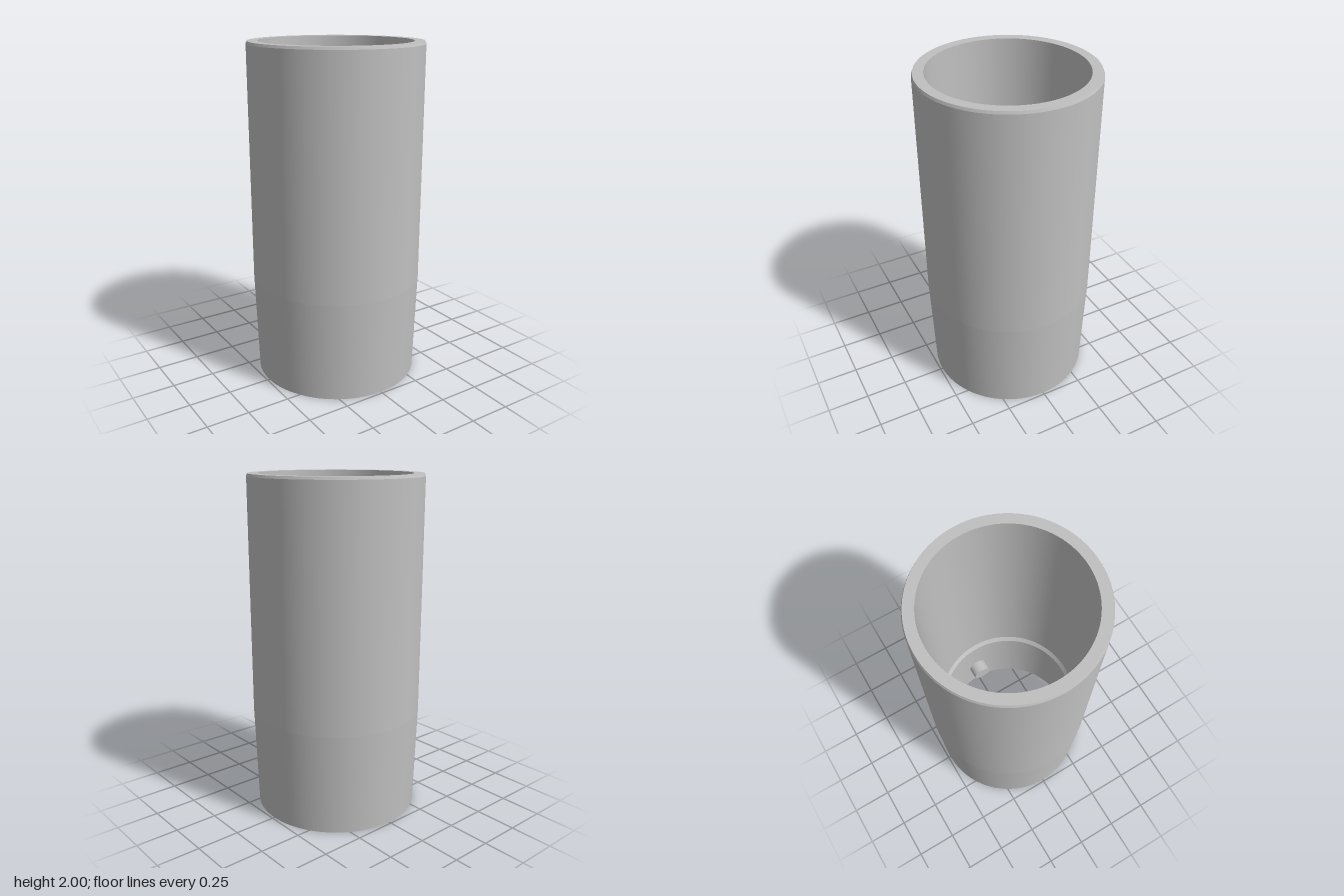
import * as THREE from 'three';

export function createModel() {
  const group = new THREE.Group();
  const grey = new THREE.MeshStandardMaterial({ color: 0xc0c0c0 });
  grey.name = 'plain grey';

  // Each band is turned separately so the edges between them stay crisp
  const band = (name, ...points) => {
    const profile = points.map(([r, y]) => new THREE.Vector2(r, y));
    const mesh = new THREE.Mesh(new THREE.LatheGeometry(profile, 96), grey);
    mesh.name = name;
    group.add(mesh);
  };

  // Outside, from the foot up to the rim
  band('outerTaper', [0.486, 0], [0.505, 0.6]);
  band('outerWall', [0.505, 0.6], [0.505, 1.985]);
  band('rimBevel', [0.505, 1.985], [0.499, 2]);
  band('topRim', [0.499, 2], [0.44, 2]);

  // Inside, from the rim down to the socket
  band('innerWall', [0.44, 2], [0.43, 0.62]);
  band('innerShoulder', [0.43, 0.62], [0.413, 0.59]);
  band('innerLip', [0.413, 0.59], [0.413, 0.54]);
  band('lipUnderside', [0.413, 0.54], [0.435, 0.53]);
  band('socketWall', [0.435, 0.53], [0.435, 0]);
  band('bottomRim', [0.435, 0], [0.486, 0]);

  // Two locking pins facing each other inside the socket
  for (const side of [-1, 1]) {
    const pin = new THREE.Mesh(new THREE.CylinderGeometry(0.06, 0.06, 0.1, 40), grey);
    pin.name = side > 0 ? 'leftPin' : 'rightPin';
    pin.rotation.z = Math.PI / 2;
    pin.position.set(side * 0.41, 0.235, 0);
    group.add(pin);
  }
  return group;
}
